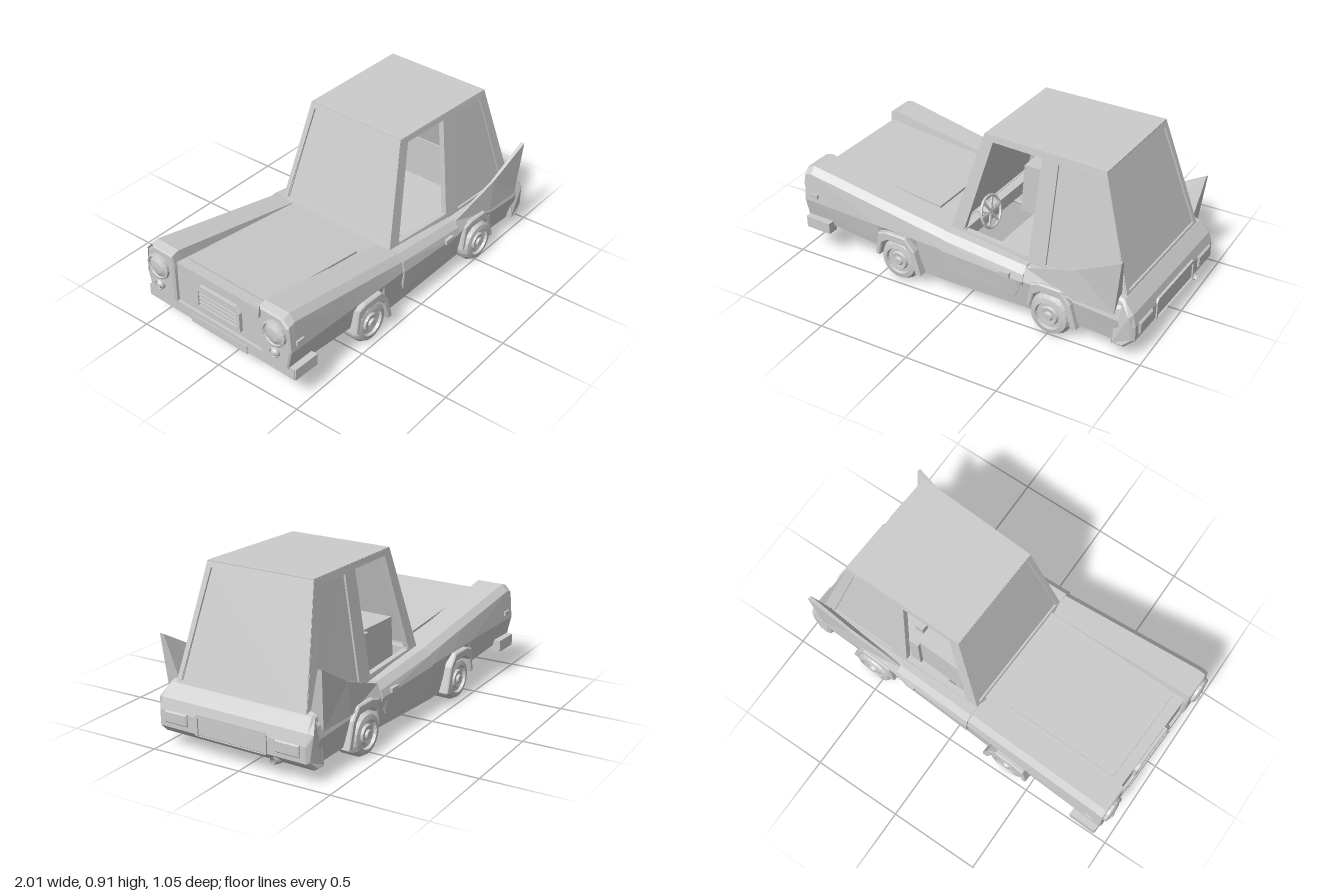
import * as THREE from 'three';

const mat = new THREE.MeshStandardMaterial({ color: 0xcccccc, flatShading: true, side: THREE.DoubleSide });

export function createModel() {
  const model = new THREE.Group();
  model.name = 'car';
  const car = new THREE.Group(); // nose points to -x, turned slightly
  car.name = 'carBody';
  car.rotation.y = -0.042;
  car.position.z = 0.015;
  model.add(car);

  const add = (name, geo) => {
    const m = new THREE.Mesh(geo, mat);
    m.name = name;
    car.add(m);
  };
  // adds a part on +z and its mirror image on -z
  const pair = (name, geo) => {
    add(name + 'Left', geo);
    const g = geo.index ? geo.toNonIndexed() : geo.clone();
    const p = g.attributes.position, a = new THREE.Vector3(), b = new THREE.Vector3();
    for (let i = 0; i < p.count; i += 3) {
      a.fromBufferAttribute(p, i + 1);
      b.fromBufferAttribute(p, i + 2);
      p.setXYZ(i, p.getX(i), p.getY(i), -p.getZ(i));
      p.setXYZ(i + 1, b.x, b.y, -b.z);
      p.setXYZ(i + 2, a.x, a.y, -a.z);
    }
    g.computeVertexNormals();
    add(name + 'Right', g);
  };
  // box from its limits
  const box = (x0, x1, y0, y1, z0, z1) =>
    new THREE.BoxGeometry(x1 - x0, y1 - y0, z1 - z0).translate((x0 + x1) / 2, (y0 + y1) / 2, (z0 + z1) / 2);
  const shape = (pts, ...holes) => {
    const s = new THREE.Shape(pts.map(p => new THREE.Vector2(...p)));
    s.holes = holes.map(h => new THREE.Path(h.map(p => new THREE.Vector2(...p))));
    return s;
  };
  const extrude = (s, depth, bevel = 0) => new THREE.ExtrudeGeometry(s, {
    depth, bevelEnabled: bevel > 0, bevelSize: bevel, bevelThickness: bevel, bevelSegments: 1 });
  // shape drawn in (z, y), extruded towards +x
  const extrudeX = (s, depth, bevel) => extrude(s, depth, bevel).applyMatrix4(
    new THREE.Matrix4().set(0, 0, 1, 0, 0, 1, 0, 0, 1, 0, 0, 0, 0, 0, 0, 1));
  const move = (geo, rule) => {
    const p = geo.attributes.position;
    for (let i = 0; i < p.count; i++) p.setXYZ(i, ...rule(p.getX(i), p.getY(i), p.getZ(i)));
    geo.computeVertexNormals();
    return geo;
  };
  // skin over equal-length cross-sections
  const loft = (sections, caps) => {
    const n = sections[0].length, idx = [];
    for (let i = 0; i < sections.length - 1; i++)
      for (let j = 0; j < n - 1; j++) {
        const a = i * n + j, b = a + n;
        idx.push(a, b, a + 1, a + 1, b, b + 1);
      }
    if (caps) for (let j = 1; j < n - 1; j++) {
      const e = (sections.length - 1) * n;
      idx.push(0, j, j + 1, e, e + j + 1, e + j);
    }
    const g = new THREE.BufferGeometry();
    g.setAttribute('position', new THREE.Float32BufferAttribute(sections.flat(2), 3));
    g.setIndex(idx);
    g.computeVertexNormals();
    return g;
  };
  const table = (t, x) => {
    let i = 0;
    while (i < t.length - 2 && x > t[i + 1][0]) i++;
    const [a, b] = [t[i], t[i + 1]];
    return a[1] + (b[1] - a[1]) * (x - a[0]) / (b[0] - a[0]);
  };
  const topY = x => table([[-0.97, 0.485], [-0.92, 0.5], [-0.1, 0.36], [0.36, 0.315], [0.9, 0.315]], x);
  const half = x => table([[-0.97, 0.487], [-0.1, 0.458], [0.36, 0.45], [0.9, 0.453]], x);
  const midY = x => table([[-0.97, 0.31], [-0.1, 0.27], [0.9, 0.22]], x);

  // body sides: stations are [x, bottom height], wheel arches included
  const side = [[-0.96, 0.2], [-0.92, 0.19], [-0.5, 0.15], [-0.48, 0.22], [-0.435, 0.25], [-0.31, 0.25], [-0.26, 0.2],
    [-0.235, 0.075], [-0.12, 0.07], [-0.1, 0.07], [0.36, 0.08], [0.4, 0.08], [0.42, 0.18], [0.47, 0.25], [0.6, 0.25],
    [0.65, 0.18], [0.67, 0.09], [0.9, 0.085]];
  pair('bodySide', loft(side.map(([x, yb]) => {
    const w = half(x), yt = topY(x), inner = x < -0.11 ? 0.29 : 0.36;
    return [[x, yb, w - 0.055], [x, yb, w - 0.025], [x, Math.max(yb + 0.02, midY(x)), w], [x, yt - 0.035, w - 0.012],
      [x, yt, w - 0.045], [x, yt, inner], [x, yt - 0.08, inner - 0.01]];
  })));
  pair('door', loft([[-0.105, 0.19], [-0.095, 0.155], [0.325, 0.15], [0.345, 0.19], [0.37, 0.22]].map(([x, yb]) => {
    const w = half(x) + 0.008, yt = topY(x) + 0.004;
    return [[x, yb, w - 0.06], [x, yb, w - 0.012], [x, midY(x), w], [x, yt - 0.035, w - 0.012],
      [x, yt, w - 0.045], [x, yt, 0.37]];
  }), true));
  pair('doorHandle', box(0.24, 0.3, 0.252, 0.277, 0.43, 0.47));
  pair('sideMarker', box(-0.925, -0.875, 0.333, 0.357, 0.46, 0.491));

  // wheel arch flares and wheels
  for (const [x, name, out] of [[-0.37, 'front', 0.016], [0.53, 'rear', 0.006]]) {
    const arch = shape([[x - 0.13, 0.13], [x - 0.11, 0.255], [x - 0.06, 0.272], [x + 0.055, 0.272], [x + 0.105, 0.21],
      [x + 0.14, 0.085], [x + 0.118, 0.085], [x + 0.085, 0.2], [x + 0.05, 0.237], [x - 0.055, 0.237],
      [x - 0.1, 0.205], [x - 0.118, 0.13]]);
    pair(name + 'ArchFlare', extrude(arch, 0.085, 0.006).translate(0, 0, half(x) + out - 0.085));
    const profile = [[0, -0.075], [0.09, -0.075], [0.115, -0.045], [0.115, 0.035], [0.1, 0.062], [0.075, 0.067],
      [0.07, 0.052], [0.052, 0.052], [0.046, 0.065], [0.026, 0.062], [0.02, 0.074], [0, 0.074]];
    pair(name + 'Wheel', new THREE.LatheGeometry(profile.map(p => new THREE.Vector2(...p)), 20)
      .rotateX(Math.PI / 2).translate(x, 0.117, 0.41));
  }

  // nose: fender ends, hood, grille
  pair('fenderNose', extrudeX(shape([[0.3, 0.21], [0.455, 0.21], [0.475, 0.31], [0.462, 0.44], [0.425, 0.478],
    [0.3, 0.478]]), 0.03, 0.01).translate(-0.955, 0, 0));
  const hoodY = x => table([[-0.94, 0.445], [-0.1, 0.357]], x);
  const hood = (x0, x1, w, up) => move(new THREE.BoxGeometry(x1 - x0, 0.02, 2 * w).translate((x0 + x1) / 2, up, 0),
    (x, y, z) => [x, y + hoodY(x) - 0.01, z]);
  add('hood', hood(-0.945, -0.08, 0.295, 0));
  add('hoodPanel', hood(-0.885, -0.24, 0.265, 0.012));
  add('nosePanel', box(-0.94, -0.92, 0.2, 0.435, -0.3, 0.3));
  add('grilleFrame', extrudeX(shape([[-0.15, 0.25], [0.15, 0.25], [0.15, 0.36], [0.12, 0.39], [-0.12, 0.39], [-0.15, 0.36]],
    [[-0.13, 0.27], [-0.13, 0.35], [-0.11, 0.37], [0.11, 0.37], [0.13, 0.35], [0.13, 0.27]]), 0.03).translate(-0.96, 0, 0));
  for (let i = 0; i < 4; i++) add('grilleBar' + i, box(-0.955, -0.935, 0.276 + i * 0.024, 0.29 + i * 0.024, -0.13, 0.13));
  const lamp = (r, y, x, z) => new THREE.LatheGeometry([[r, 0], [r, 0.025], [r * 0.85, 0.03], [r * 0.8, 0.02],
    [r * 0.5, 0.032], [0, 0.036]].map(p => new THREE.Vector2(...p)), 16).rotateZ(Math.PI / 2).translate(x, y, z);
  pair('headlight', lamp(0.072, 0.385, -0.955, 0.39));
  pair('foglight', lamp(0.028, 0.275, -0.955, 0.39));

  // front bumper
  add('bumper', box(-0.955, -0.9, 0.147, 0.21, -0.495, 0.495));
  pair('bumperEnd', box(-0.95, -0.8, 0.147, 0.21, 0.44, 0.5));
  add('bumperCentre', box(-0.96, -0.88, 0.138, 0.185, -0.19, 0.19));

  // tail, narrower at the rear face and along the upper edge
  add('tail', move(extrude(shape([[0.87, 0.325], [0.9, 0.312], [0.95, 0.255], [0.965, 0.2], [0.965, 0.125],
    [0.92, 0.085], [0.87, 0.085]]), 0.876, 0.014).translate(0, 0, -0.438),
  (x, y, z) => [x, y, z * (y > 0.3 ? 0.94 : x > 0.95 ? 0.975 : 1)]));
  pair('taillight', extrudeX(shape([[0.265, 0.15], [0.39, 0.15], [0.39, 0.2], [0.265, 0.2]]), 0.01, 0.006)
    .translate(0.974, 0, 0));
  add('plateFrame', extrudeX(shape([[-0.21, 0.115], [-0.21, 0.21], [-0.195, 0.225], [0.195, 0.225], [0.21, 0.21],
    [0.21, 0.115]], [[-0.195, 0.115], [0.195, 0.115], [0.195, 0.207], [-0.195, 0.207]]), 0.018).translate(0.968, 0, 0));
  add('exhaustPipe', new THREE.TubeGeometry(new THREE.CatmullRomCurve3([[0.72, 0.078], [0.88, 0.076], [0.93, 0.08],
    [0.985, 0.094]].map(([x, y]) => new THREE.Vector3(x, y, -0.245))), 16, 0.017, 10));

  // tail fins rising to the rear
  pair('fin', loft([0, 0.55, 1].map(t => {
    const x = 0.37 + 0.505 * t, h = 0.315 + 0.245 * t ** 1.35;
    return [[x, 0.25, 0.454], [x + 0.035 * t, h, 0.425 + 0.045 * t], [x + 0.035 * t, h, 0.42 + 0.028 * t],
      [x, 0.305, 0.405 - 0.025 * t], [x, 0.25, 0.454]];
  }), true));

  // cabin: framed walls leaning inwards, slightly narrower at the front
  const narrow = x => 0.015 * THREE.MathUtils.clamp((0.7 - x) / 0.65, 0, 1);
  const leanZ = (x, y, z) => [x, y, z + 0.352 - (y - 0.34) * 0.13 - narrow(x)];
  const wall = shape([[-0.105, 0.34], [0.055, 0.905], [0.73, 0.905], [0.905, 0.31], [0.36, 0.31]],
    [[-0.03, 0.365], [0.105, 0.875], [0.385, 0.875], [0.355, 0.345]],
    [[0.455, 0.33], [0.475, 0.87], [0.69, 0.87], [0.84, 0.33]]);
  pair('cabinSideFrame', move(extrude(wall, 0.03), leanZ));
  pair('quarterWindow', move(extrude(shape([[0.45, 0.325], [0.47, 0.875], [0.7, 0.875], [0.85, 0.325]]), 0.01)
    .translate(0, 0, 0.01), leanZ));
  const screen = (name, y0, w0, w1, rule) => {
    const quad = d => [[-w0 + d, y0 + d], [w0 - d, y0 + d], [w1 - d, 0.905 - d], [-w1 + d, 0.905 - d]];
    add(name + 'Frame', move(extrudeX(shape(quad(0), quad(0.028)), 0.03), rule));
    add(name, move(extrudeX(shape(quad(0.02)), 0.01).translate(0.01, 0, 0), rule));
  };
  screen('windshield', 0.345, 0.367, 0.293, (x, y, z) => [x - 0.108 + (y - 0.345) * 0.285, y, z]);
  screen('rearWindow', 0.31, 0.384, 0.308, (x, y, z) => [x + 0.88 - (y - 0.31) * 0.3, y, z]);
  add('roof', move(box(0.053, 0.732, 0.885, 0.908, -0.307, 0.307),
    (x, y, z) => [x, y, z - Math.sign(z) * narrow(x)]));

  // underside and interior
  add('floorPan', box(0.12, 0.9, 0.075, 0.095, -0.4, 0.4));
  add('dashboard', box(-0.1, -0.02, 0.3, 0.37, -0.36, 0.36));
  add('seatBase', box(0.12, 0.36, 0.09, 0.28, -0.33, 0.33));
  add('seatBack', box(0.3, 0.36, 0.28, 0.54, -0.33, -0.04));
  add('headrest', box(0.32, 0.37, 0.52, 0.595, -0.26, -0.11));
  add('passengerSeat', move(box(0.035, 0.31, 0.27, 0.55, -0.31, -0.08),
    (x, y, z) => [y > 0.5 && x < 0.1 ? x + 0.02 : x, y, z]));
  const wheel = new THREE.Group();
  wheel.name = 'steeringWheel';
  wheel.add(new THREE.Mesh(new THREE.TorusGeometry(0.085, 0.008, 6, 18), mat));
  for (let i = 0; i < 3; i++) {
    const spoke = new THREE.Mesh(new THREE.BoxGeometry(0.165, 0.012, 0.008), mat);
    spoke.rotation.z = i * Math.PI / 3;
    wheel.add(spoke);
  }
  const column = new THREE.Mesh(new THREE.CylinderGeometry(0.012, 0.012, 0.08, 8).rotateX(Math.PI / 2), mat);
  column.position.z = -0.04;
  wheel.add(column);
  wheel.position.set(0.02, 0.4, 0.19);
  wheel.rotation.set(0, Math.PI / 2, 0);
  wheel.rotateX(-0.25);
  car.add(wheel);
  return model;
}
